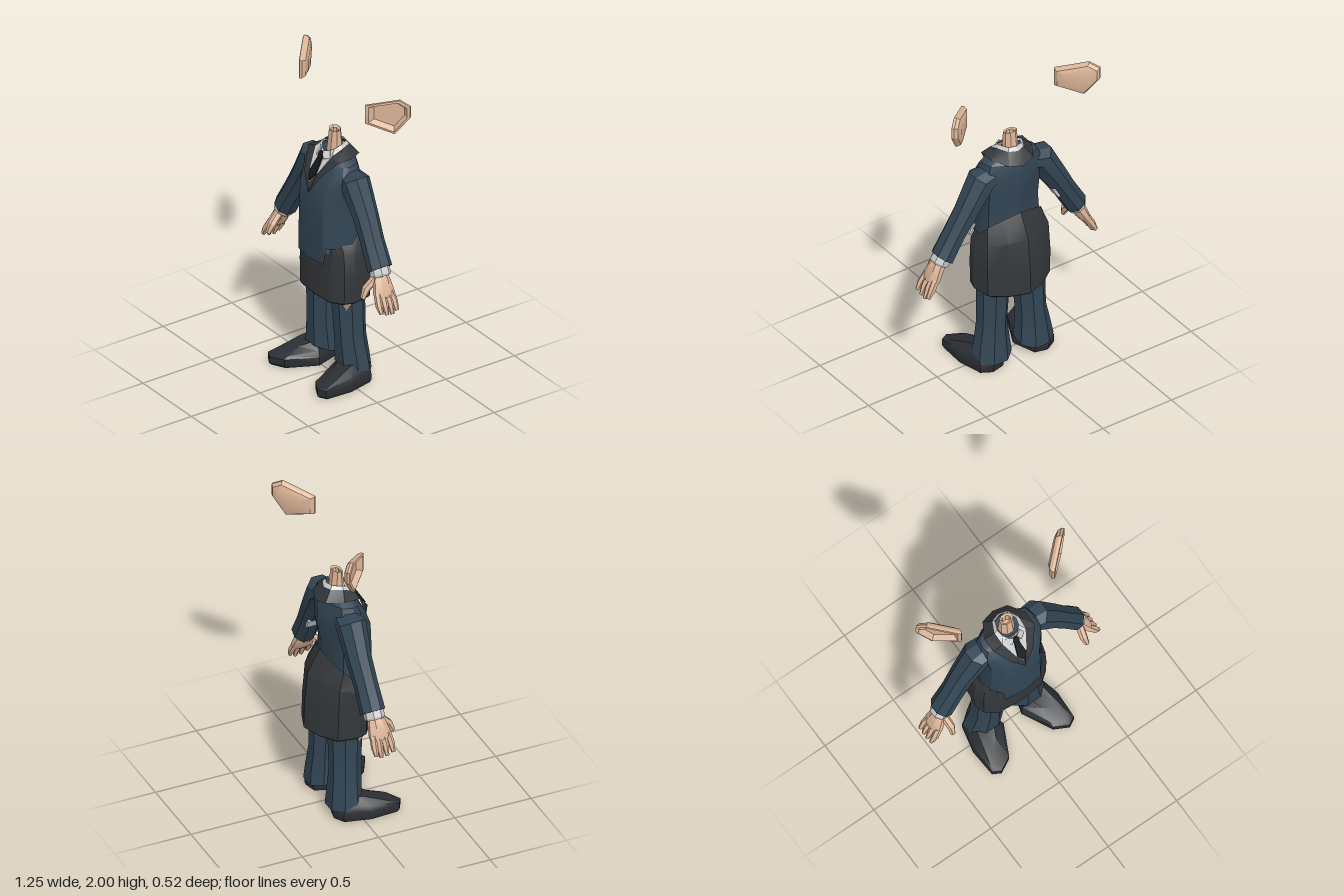
import * as THREE from 'three';
import { toCreasedNormals } from 'three/addons/utils/BufferGeometryUtils.js';

const mat = (color) => new THREE.MeshStandardMaterial({ color, side: THREE.DoubleSide });
const suit = mat(0x324554), dark = mat(0x34373a), skin = mat(0xdcb598);
const white = mat(0xd2d4d6), black = mat(0x16191d), shoeMat = mat(0x2b2f33);

function add(parent, name, geometry, material) {
  const mesh = new THREE.Mesh(geometry, material);
  mesh.name = name;
  parent.add(mesh);
  return mesh;
}

// Joins rings of [x, y, z] points into a skin, with optional end caps
function loft(rings, capStart = true, capEnd = true) {
  const pos = [], n = rings[0].length;
  const tri = (a, b, c) => pos.push(...a, ...b, ...c);
  const mid = (r) => [0, 1, 2].map((k) => r.reduce((s, p) => s + p[k], 0) / n);
  const first = rings[0], last = rings[rings.length - 1];
  for (let j = 0; j < n; j++) {
    const k = (j + 1) % n;
    for (let i = 0; i < rings.length - 1; i++) {
      const a = rings[i], b = rings[i + 1];
      tri(a[j], a[k], b[k]);
      tri(a[j], b[k], b[j]);
    }
    if (capStart) tri(first[k], first[j], mid(first));
    if (capEnd) tri(last[j], last[k], mid(last));
  }
  const g = new THREE.BufferGeometry();
  g.setAttribute('position', new THREE.Float32BufferAttribute(pos, 3));
  return toCreasedNormals(g, 0.45);
}

// Completes a half ring (front centre to back centre) by mirroring it
const mirrorRing = (half) => [...half, ...half.slice(1, -1).reverse().map(([x, y, z]) => [-x, y, z])];

// Body section: heights at front, side and back, half width, front z, back z
const section = [[0, 1], [0.62, 0.9], [0.68, 0.84], [0.92, 0.5], [1, 0], [0.92, -0.5], [0.5, -0.82], [0, -1]];
function bodyRing([yf, ys, yb, hw, zf, zb]) {
  const zc = -0.02;
  return mirrorRing(section.map(([u, w], i) => [
    u * hw, i < 2 ? yf : i < 5 ? ys : ys + (yb - ys) * -w, zc + w * (w > 0 ? zf - zc : zc - zb)]));
}

// Upright oval ring; tilt raises the front
const oval = (y, cx, cz, rx, rz, tilt = 0, n = 8) => Array.from({ length: n }, (_, i) => {
  const a = ((i + 0.5) / n) * Math.PI * 2;
  return [cx + rx * Math.sin(a), y + tilt * Math.cos(a), cz + rz * Math.cos(a)];
});

// Limb through points [x, y, z, half depth, half thickness]
function limb(points, n = 8) {
  const v3 = (p) => new THREE.Vector3(p[0], p[1], p[2]);
  const d = v3(points[points.length - 1]).sub(v3(points[0])).normalize();
  const u = new THREE.Vector3(0, 0, 1).addScaledVector(d, -d.z).normalize();
  const v = d.clone().cross(u);
  return loft(points.map((p) => Array.from({ length: n }, (_, i) => {
    const a = ((i + 0.5) / n) * Math.PI * 2;
    return v3(p).addScaledVector(u, Math.cos(a) * p[3]).addScaledVector(v, Math.sin(a) * p[4]).toArray();
  })));
}

function buildTorso(body) {
  add(body, 'jacket', loft([
    [0.81, 0.92, 0.92, 0.205, 0.145, -0.15],
    [0.97, 0.97, 0.97, 0.203, 0.147, -0.15],
    [1.12, 1.12, 1.12, 0.195, 0.145, -0.14],
    [1.27, 1.27, 1.27, 0.2, 0.137, -0.17],
    [1.38, 1.38, 1.39, 0.215, 0.092, -0.172],
    [1.45, 1.45, 1.46, 0.185, 0.045, -0.155],
    [1.49, 1.49, 1.5, 0.11, 0.015, -0.12],
  ].map(bodyRing)), suit);
  add(body, 'skirt', loft([
    [0.55, 0.55, 0.55, 0.235, 0.105, -0.25],
    [0.56, 0.56, 0.56, 0.245, 0.112, -0.26],
    [0.72, 0.72, 0.72, 0.25, 0.112, -0.255],
    [0.82, 0.88, 0.94, 0.243, 0.11, -0.235],
    [0.86, 0.94, 1.09, 0.212, 0.1, -0.155],
  ].map(bodyRing), true, false), dark);

  // Collar band with lapels meeting in a V, and the shirt inside it
  const outer = mirrorRing([[0, 1.25, 0.15], [0.075, 1.37, 0.125], [0.15, 1.48, 0.04],
    [0.15, 1.48, -0.06], [0.09, 1.465, -0.16], [0, 1.45, -0.185]]);
  const inner = mirrorRing([[0, 1.32, 0.14], [0.04, 1.39, 0.108], [0.085, 1.5, 0.035],
    [0.088, 1.53, -0.04], [0.055, 1.53, -0.11], [0, 1.525, -0.128]]);
  const band = mirrorRing([[0, 1.5, 0.03], [0.03, 1.51, 0.025], [0.06, 1.53, 0],
    [0.068, 1.545, -0.04], [0.045, 1.55, -0.095], [0, 1.55, -0.11]]);
  add(body, 'lapels', loft([outer, inner], false, false), dark);
  add(body, 'shirtFront', loft([inner, band], false, false), white);

  // Shirt collar wings
  for (const s of [-1, 1]) {
    const wing = add(body, 'collarWing', new THREE.BoxGeometry(0.045, 0.05, 0.008), white);
    wing.position.set(s * 0.04, 1.495, 0.042);
    wing.rotation.set(-0.6, s * 0.45, s * 0.5);
  }

  // Tie lying along the sloping shirt
  const tie = new THREE.Shape([[-0.026, 0], [-0.017, -0.045], [-0.031, -0.14], [0, -0.19],
    [0.031, -0.14], [0.017, -0.045], [0.026, 0]].map(([x, y]) => new THREE.Vector2(x, y)));
  const tieMesh = add(body, 'tie', new THREE.ExtrudeGeometry(tie, { depth: 0.014, bevelEnabled: false }), black);
  tieMesh.position.set(0, 1.495, 0.036);
  tieMesh.rotation.x = -0.55;

  // Open neck stump
  add(body, 'neck', loft([
    oval(1.46, 0, -0.045, 0.056, 0.055), oval(1.53, 0, -0.045, 0.05, 0.045),
    oval(1.63, 0, -0.045, 0.045, 0.033, -0.006), oval(1.62, 0, -0.045, 0.03, 0.022),
    oval(1.55, 0, -0.045, 0.028, 0.022),
  ], false, true), skin);
}

function buildArm(side) {
  add(side, 'sleeve', limb([
    [0.12, 1.375, -0.045, 0.08, 0.085], [0.205, 1.36, -0.045, 0.093, 0.096],
    [0.325, 1.165, -0.045, 0.078, 0.08], [0.4, 1.04, -0.037, 0.074, 0.072],
    [0.485, 0.895, -0.032, 0.078, 0.073]]), suit);
  add(side, 'cuff', limb([
    [0.46, 0.94, -0.03, 0.06, 0.058], [0.498, 0.868, -0.027, 0.064, 0.064],
    [0.503, 0.855, -0.027, 0.058, 0.058]]), white);
  const patch = add(side, 'elbowPatch', new THREE.BoxGeometry(0.018, 0.07, 0.07), white);
  patch.position.set(0.31, 1.065, -0.06);
  patch.rotation.z = 0.52;

  // Hand with thumb and four fingers
  add(side, 'palm', limb([
    [0.49, 0.88, -0.025, 0.04, 0.036], [0.515, 0.835, -0.02, 0.058, 0.042],
    [0.55, 0.765, -0.015, 0.073, 0.036], [0.565, 0.74, -0.015, 0.064, 0.026]]), skin);
  add(side, 'thumb', limb([
    [0.495, 0.85, 0.01, 0.026, 0.026], [0.485, 0.79, 0.07, 0.027, 0.025],
    [0.49, 0.735, 0.098, 0.016, 0.016]], 6), skin);
  [[0.045, 0.665], [0.005, 0.65], [-0.033, 0.645], [-0.066, 0.66]].forEach(([z, y]) =>
    add(side, 'finger', limb([
      [0.55, 0.77, z * 0.85 - 0.004, 0.02, 0.026], [0.585, 0.71, z, 0.021, 0.024],
      [0.612, y, z, 0.012, 0.014]], 6), skin));
}

function buildLeg(side) {
  add(side, 'trouserLeg', loft([
    oval(0.09, 0.152, -0.07, 0.128, 0.108, 0.035), oval(0.16, 0.15, -0.065, 0.115, 0.103),
    oval(0.3, 0.142, -0.055, 0.095, 0.098), oval(0.56, 0.128, -0.05, 0.104, 0.104),
    oval(0.75, 0.125, -0.05, 0.1, 0.1)]), suit);

  // Bare skin showing under the skirt hem
  for (const [x, z, r] of [[0.19, 0.005, 0.046], [0.08, 0.025, 0.035]]) {
    const knee = add(side, 'bareKnee', new THREE.ConeGeometry(r, r * 2.2, 5), skin);
    knee.position.set(x, 0.565 - r * 1.1, z);
    knee.rotation.x = Math.PI;
  }

  // Shoe: sole wall, then an upper rising from toe to ankle
  const sole = [[0.25, 0.258], [0.3, 0.23], [0.31, 0.05], [0.27, -0.12], [0.2, -0.16],
    [0.115, -0.14], [0.065, 0.02], [0.16, 0.21]];
  const level = (s, y) => sole.map(([x, z]) =>
    [0.185 + (x - 0.185) * s, typeof y === 'number' ? y : y(z), -0.02 + (z + 0.02) * s]);
  add(side, 'shoe', loft([
    level(0.95, 0), level(1, 0.015), level(1, 0.058),
    level(0.88, (z) => 0.095 - 0.1 * Math.max(z, 0)),
    level(0.5, (z) => 0.145 - 0.17 * Math.max(z, 0))]), shoeMat);
}

// Cupped ear: rounded back, thick rim and a hollow front
function buildEar(side) {
  const outline = [[0, 1.94], [0, 1.82], [0.18, 1.77], [0.275, 1.89], [0.275, 1.965], [0.21, 2]];
  const level = (s, z) => outline.map(([x, y]) => [0.15 + (x - 0.15) * s, 1.89 + (y - 1.89) * s, z]);
  const ear = add(side, 'ear', loft([
    level(0.6, -0.026), level(0.88, -0.014), level(1, 0.006), level(1, 0.022),
    level(0.86, 0.026), level(0.68, -0.008)]), skin);
  ear.position.set(0.325, 0, -0.042);
  ear.rotation.y = 0.735;
}

export function createModel() {
  const model = new THREE.Group();
  model.name = 'suitedFigure';
  const body = new THREE.Group();
  body.name = 'body';
  model.add(body);
  buildTorso(body);
  for (const s of [1, -1]) {
    const side = new THREE.Group();
    side.name = s > 0 ? 'leftSide' : 'rightSide';
    side.scale.x = s;
    buildArm(side);
    buildLeg(side);
    buildEar(side);
    model.add(side);
  }
  return model;
}
